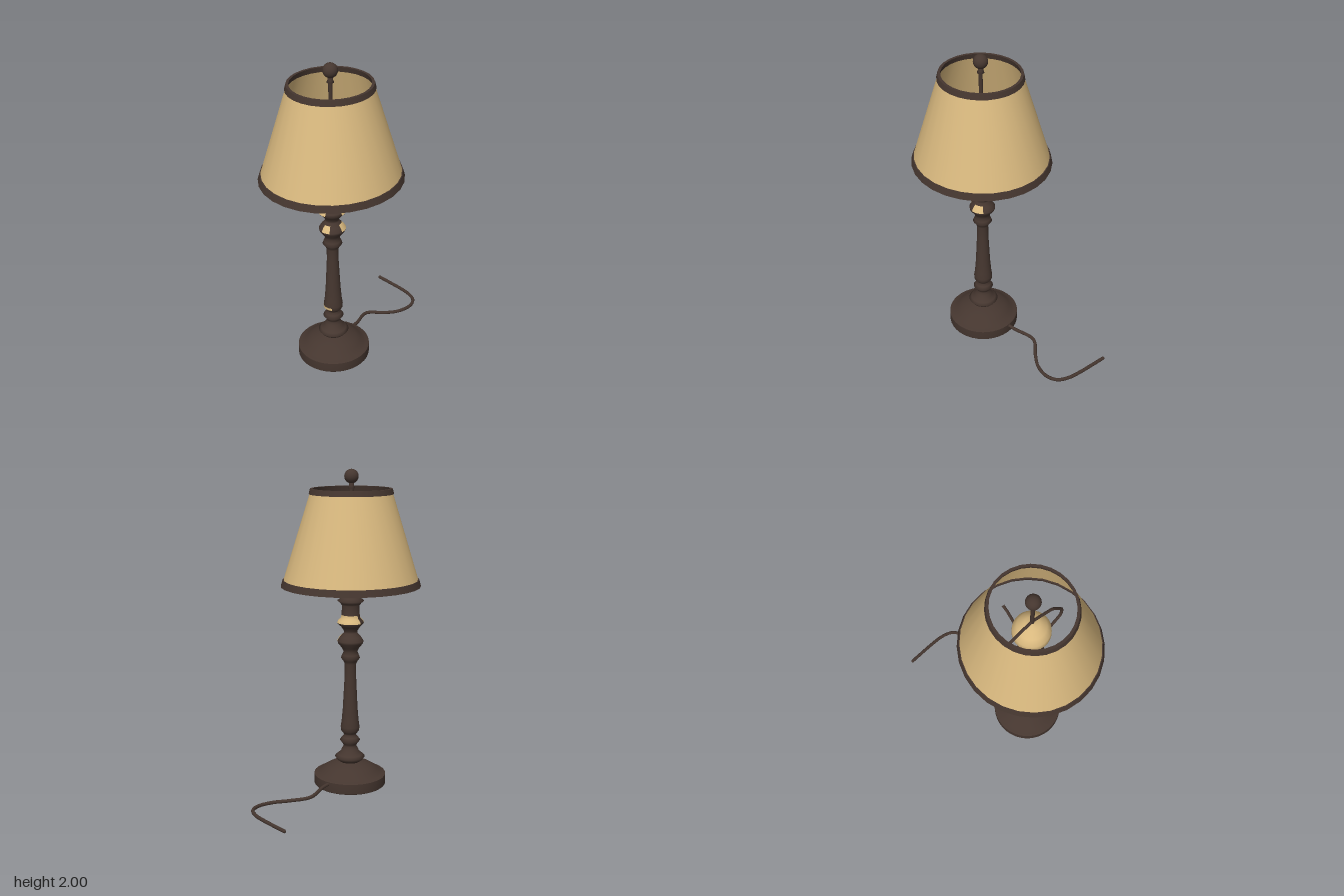
import * as THREE from 'three';

const AXIS_Z = 0.183; // the lamp stands forward of the trailing cord

export function createModel() {
  const bronze = new THREE.MeshStandardMaterial({ color: 0x45362f });
  bronze.name = 'dark bronze';
  const cream = new THREE.MeshStandardMaterial({ color: 0xd9b97f, side: THREE.DoubleSide });
  cream.name = 'cream';

  const model = new THREE.Group();
  model.name = 'tableLamp';
  const lamp = new THREE.Group();
  lamp.name = 'lamp';
  lamp.position.z = AXIS_Z;
  model.add(lamp);

  const add = (parent, name, geometry, material) => {
    const mesh = new THREE.Mesh(geometry, material);
    mesh.name = name;
    parent.add(mesh);
    return mesh;
  };
  const lathe = (points, segments = 32, start = 0, sweep = Math.PI * 2) =>
    new THREE.LatheGeometry(points.map(([r, y]) => new THREE.Vector2(r, y)), segments, start, sweep);
  const wire = (points, radius, steps = 32, type = 'centripetal') =>
    new THREE.TubeGeometry(
      new THREE.CatmullRomCurve3(points.map((p) => new THREE.Vector3(...p)), false, type, 0.2),
      steps, radius, 8);

  // Round foot: doubled corner points keep the rim crisp
  add(lamp, 'foot', lathe([
    [0, 0], [0.222, 0], [0.222, 0], [0.228, 0.006], [0.228, 0.068], [0.228, 0.068], [0.215, 0.076],
    [0.195, 0.08], [0.175, 0.1], [0.14, 0.122], [0.1, 0.138], [0.06, 0.15],
  ], 40), bronze);

  // Turned column with its beads
  add(lamp, 'column', lathe([
    [0.06, 0.145], [0.08, 0.16], [0.095, 0.18], [0.08, 0.195], [0.06, 0.21], [0.05, 0.235], [0.04, 0.25],
    [0.045, 0.265], [0.064, 0.29], [0.05, 0.31], [0.036, 0.325], [0.045, 0.338], [0.058, 0.355],
    [0.06, 0.38], [0.054, 0.42], [0.047, 0.5], [0.042, 0.6], [0.037, 0.7], [0.036, 0.79],
    [0.045, 0.81], [0.06, 0.83], [0.052, 0.85], [0.043, 0.87], [0.055, 0.895], [0.079, 0.925],
    [0.081, 0.94], [0.065, 0.965], [0.042, 0.99], [0.043, 1.005], [0.06, 1.03], [0.082, 1.052],
    [0.075, 1.068], [0.057, 1.085], [0.055, 1.165], [0.065, 1.178], [0.083, 1.195], [0.06, 1.212],
    [0.042, 1.232], [0.052, 1.252], [0.058, 1.27], [0.045, 1.29], [0.043, 1.31],
  ]), bronze);

  // Worn cream patches on the upper beads (angles in degrees from the front)
  const upper = [[0.084, 1.055], [0.078, 1.07], [0.06, 1.087], [0.058, 1.105]];
  const lower = [[0.084, 0.94], [0.068, 0.967], [0.056, 0.978]];
  for (const [profile, from, to] of [[upper, -40, 20], [upper, 95, 280], [lower, 0, 38], [lower, 95, 150]]) {
    add(lamp, 'wornPatch', lathe(profile, 12,
      THREE.MathUtils.degToRad(from), THREE.MathUtils.degToRad(to - from)), cream);
  }
  add(lamp, 'wornRing', lathe([[0.0605, 0.358], [0.0615, 0.375]], 12, -0.8, 1.5), cream);

  // Socket and bulb
  add(lamp, 'socket', lathe([[0.043, 1.3], [0.05, 1.33], [0.05, 1.42], [0.05, 1.42], [0, 1.42]], 24), bronze);
  add(lamp, 'bulb', lathe([
    [0.035, 1.415], [0.05, 1.435], [0.09, 1.47], [0.113, 1.52], [0.11, 1.565], [0.085, 1.61],
    [0.045, 1.635], [0, 1.643],
  ], 28), cream);

  // Wire harp over the bulb, and shade arms front and back
  for (const s of [-1, 1]) {
    add(lamp, 'harpWire', wire([
      [s * 0.03, 1.335, 0], [s * 0.12, 1.335, 0], [s * 0.22, 1.42, 0], [s * 0.225, 1.5, 0],
      [s * 0.15, 1.62, 0], [0, 1.68, 0],
    ], 0.009, 32, 'catmullrom'), bronze);
    add(lamp, 'supportArm', wire([
      [0, 1.335, s * 0.03], [0, 1.335, s * 0.12], [0, 1.42, s * 0.21], [0, 1.44, s * 0.25],
    ], 0.009, 20, 'catmullrom'), bronze);
  }

  // Finial on its rod
  add(lamp, 'finialRod', lathe([
    [0, 1.67], [0.012, 1.67], [0.012, 1.88], [0.022, 1.885], [0.016, 1.9], [0.015, 1.925],
  ], 16), bronze);
  add(lamp, 'finialBall', new THREE.SphereGeometry(0.044, 24, 16).translate(0, 1.956, 0), bronze);

  // Tapered shade with dark trim, very slightly oval
  const shade = new THREE.Group();
  shade.name = 'shade';
  shade.scale.z = 1.03;
  lamp.add(shade);
  add(shade, 'shadeCloth', lathe([[0.413, 1.31], [0.243, 1.87]], 28), cream);
  const trim = (name, r0, y0, r1, y1, depth) => add(shade, name, lathe([
    [r0, y0], [r0, y0], [r1, y1], [r1, y1], [r1 - depth, y1], [r1 - depth, y1],
    [r0 - depth, y0], [r0 - depth, y0], [r0, y0],
  ], 28), bronze);
  trim('bottomTrim', 0.425, 1.288, 0.413, 1.329, 0.016);
  trim('topTrim', 0.254, 1.85, 0.246, 1.883, 0.016);

  // Power cord trailing behind on the ground
  const cordPath = [
    [-0.05, 0.055, 0], [-0.07, 0.05, -0.08], [-0.125, 0.033, -0.22], [-0.06, 0.016, -0.33],
    [-0.015, 0.012, -0.42], [-0.008, 0.012, -0.52], [-0.045, 0.012, -0.585], [-0.12, 0.012, -0.612],
    [-0.2, 0.012, -0.615], [-0.3, 0.012, -0.61], [-0.405, 0.012, -0.603],
  ];
  add(model, 'cord', wire(cordPath, 0.011, 64), bronze);
  add(model, 'cordEnd', new THREE.SphereGeometry(0.011, 8, 6).translate(...cordPath.at(-1)), bronze);

  return model;
}
